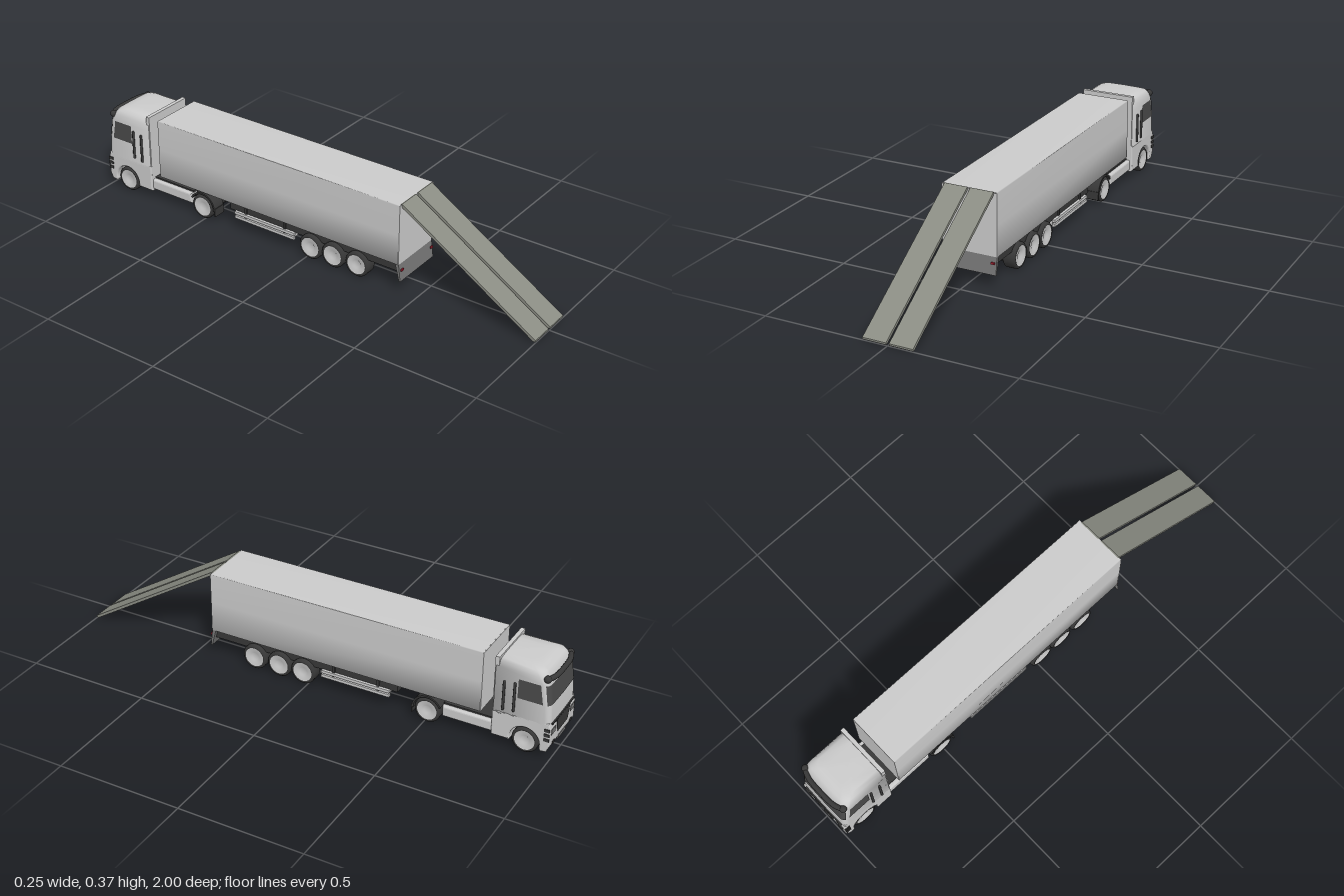
import * as THREE from 'three';

const mat = (color) => new THREE.MeshStandardMaterial({ color, side: THREE.DoubleSide });

export function createModel() {
  const root = new THREE.Group();
  const light = mat(0xcccccc), dark = mat(0x383838), glass = mat(0x4a4a4a);
  const rampMat = mat(0x8b8d84), red = mat(0xa02030), mid = mat(0x777777);

  function add(name, geo, material = light, parent = root) {
    const m = new THREE.Mesh(geo, material);
    m.name = name;
    parent.add(m);
    return m;
  }
  // Box given by its x, y and z ranges
  function box(name, x0, x1, y0, y1, z0, z1, material = light) {
    const g = new THREE.BoxGeometry(x1 - x0, y1 - y0, z1 - z0);
    g.translate((x0 + x1) / 2, (y0 + y1) / 2, (z0 + z1) / 2);
    return add(name, g, material);
  }
  // Side outline in (z, y), extruded along x around centre cx
  function sideExtrude(name, shape, width, cx, material, bevel = 0) {
    const g = new THREE.ExtrudeGeometry(shape, {
      depth: width - 2 * bevel, bevelEnabled: bevel > 0, bevelSize: bevel, bevelThickness: bevel,
      bevelOffset: -bevel, bevelSegments: 3, curveSegments: 20,
    });
    g.translate(0, 0, -width / 2 + bevel).rotateY(-Math.PI / 2).translate(cx, 0, 0);
    return add(name, g, material);
  }
  const poly = (pts) => new THREE.Shape(pts.map(([z, y]) => new THREE.Vector2(z, y)));
  // Skin over equal-length rows of points
  function loft(rows, closed = false) {
    const n = rows[0].length, idx = [];
    for (let j = 0; j < rows.length - 1; j++) {
      for (let i = 0; i < (closed ? n : n - 1); i++) {
        const a = j * n + i, b = j * n + (i + 1) % n;
        idx.push(a, a + n, b, b, a + n, b + n);
      }
    }
    const g = new THREE.BufferGeometry();
    g.setAttribute('position', new THREE.Float32BufferAttribute(rows.flat(2), 3));
    g.setIndex(idx);
    g.computeVertexNormals();
    return g;
  }
  const both = (fn) => [-1, 1].forEach(fn);

  // Trailer body: softly shaded tube with flat ends
  const w = 0.113, lo = 0.12, hi = 0.37, my = 0.245;
  const ring = (z) => [[w, lo], [w, my], [w, hi - 0.003], [w - 0.003, hi], [0, hi],
    [0.003 - w, hi], [-w, hi - 0.003], [-w, my], [-w, lo], [0, lo]].map(([x, y]) => [x, y, z]);
  add('trailerBody', loft([ring(-0.723), ring(0.423)], true));
  box('trailerFrontWall', -w, w, lo, hi - 0.002, -0.725, -0.722);
  box('trailerRearDoor', -w, w, lo, hi - 0.002, 0.422, 0.425);

  // Trailer underframe, side guards and rear bumper
  sideExtrude('trailerFrame', poly([[0.42, 0.121], [0.42, 0.08], [-0.38, 0.08], [-0.38, 0.121]]), 0.19, 0, dark);
  box('underTray', -0.09, 0.09, 0.055, 0.08, -0.34, -0.07);
  both((s) => {
    for (const y of [0.053, 0.071]) {
      const a = s * 0.1;
      box('sideGuardRail', a - 0.006, a + 0.006, y, y + 0.012, -0.35, -0.06);
    }
    for (const z of [-0.3, -0.11]) box('sideGuardPost', s * 0.097 - 0.004, s * 0.097 + 0.004, 0.055, 0.12, z - 0.005, z + 0.005, dark);
    box('tailLight', s * 0.099 - 0.007, s * 0.099 + 0.007, 0.093, 0.101, 0.431, 0.436, red);
  });
  sideExtrude('rearBumper', poly([[0.41, 0.12], [0.425, 0.12], [0.434, 0.05], [0.428, 0.05]]), 0.224, 0, mid);

  // Loading ramps, sloping from the roof edge to the ground
  const rampShape = poly([[0.42, 0.37], [0.425, 0.372], [1, 0.01], [1, 0.003], [0.99, 0.003], [0.42, 0.362]]);
  both((s) => sideExtrude(s > 0 ? 'leftRamp' : 'rightRamp', rampShape, 0.094, s * 0.053, rampMat));

  // Wheels with axles
  const R = 0.052;
  const tyreProfile = [[0.036, -0.025], [0.046, -0.027], [R, -0.02], [R, 0.02], [0.046, 0.027], [0.04, 0.026], [0.038, 0.021]]
    .map(([r, y]) => new THREE.Vector2(r, y));
  const rimProfile = [[0, 0.018], [0.014, 0.018], [0.018, 0.022], [0.036, 0.024], [0.041, 0.026]]
    .map(([r, y]) => new THREE.Vector2(r, y));
  const tyreGeo = new THREE.LatheGeometry(tyreProfile, 28);
  const rimGeo = new THREE.LatheGeometry(rimProfile, 28);
  const axleGeo = new THREE.CylinderGeometry(0.034, 0.034, 0.14, 20).rotateZ(Math.PI / 2);
  for (const z of [0.235, 0.125, 0.02, -0.51, -0.9]) {
    add('axle', axleGeo, dark).position.set(0, R, z);
    both((s) => {
      const wheel = new THREE.Group();
      wheel.name = 'wheel';
      wheel.position.set(s * 0.085, R, z);
      wheel.rotation.z = -s * Math.PI / 2;
      add('tyre', tyreGeo, dark, wheel);
      add('rim', rimGeo, light, wheel);
      root.add(wheel);
    });
  }

  // Tractor frame, coupling plate, tanks and drive wheel mudguards
  box('tractorFrame', -0.055, 0.055, 0.055, 0.09, -0.78, -0.46, dark);
  box('tractorDeck', -0.092, 0.092, 0.086, 0.096, -0.8, -0.57, dark);
  sideExtrude('couplingPlate', poly([[-0.5, 0.09], [-0.54, 0.12], [-0.65, 0.12], [-0.68, 0.09]]), 0.12, 0, dark);
  both((s) => {
    sideExtrude('sideTank', poly([[-0.57, 0.045], [-0.57, 0.09], [-0.775, 0.09], [-0.775, 0.045]]), 0.045, s * 0.086, light, 0.008);
    const guard = new THREE.Shape();
    guard.absarc(-0.51, R, 0.062, -0.05, Math.PI * 0.85, false);
    guard.absarc(-0.51, R, 0.055, Math.PI * 0.85, -0.05, true);
    sideExtrude('mudguard', guard, 0.056, s * 0.084, dark);
    box('mudFlap', s * 0.084 - 0.027, s * 0.084 + 0.027, 0.025, 0.06, -0.45, -0.446, dark);
  });

  // Lower cab with wheel arch
  const lower = new THREE.Shape();
  lower.moveTo(-0.77, 0.155);
  lower.lineTo(-0.77, 0.04);
  lower.lineTo(-0.842, 0.04);
  lower.absarc(-0.9, R, 0.059, -0.2, Math.PI + 0.2, false);
  lower.lineTo(-0.962, 0.03);
  lower.lineTo(-0.985, 0.032);
  lower.lineTo(-0.998, 0.06);
  lower.lineTo(-0.998, 0.13);
  lower.lineTo(-0.992, 0.155);
  sideExtrude('lowerCab', lower, 0.234, 0, light, 0.006);

  // Upper cab, lofted from level outlines with rounded front corners
  const levels = [[0.14, 0.117, -0.995, 0.02], [0.22, 0.117, -0.99, 0.022], [0.31, 0.116, -0.978, 0.025],
    [0.335, 0.112, -0.968, 0.03], [0.352, 0.104, -0.955, 0.03], [0.36, 0.088, -0.935, 0.03]];
  function levelAt(y) {
    const k = Math.max(1, levels.findIndex((l) => l[0] >= y));
    const a = levels[k - 1], b = levels[k], t = (y - a[0]) / (b[0] - a[0]);
    return a.map((v, i) => v + (b[i] - v) * t);
  }
  // Front corner of one side, from the flank round to the front face
  function corner([y, hw, zf, r], s, grow = 0) {
    return Array.from({ length: 7 }, (_, i) => {
      const a = i / 6 * Math.PI / 2;
      return [s * (hw - r + (r + grow) * Math.cos(a)), y, zf + r - (r + grow) * Math.sin(a)];
    });
  }
  const frontRow = (l, grow) => [...corner(l, 1, grow), [0, l[0], l[2] - 0.002 - (grow || 0)], ...corner(l, -1, grow).reverse()];
  const rows = levels.map((l) => [[l[1], l[0], -0.775], ...frontRow(l), [-l[1], l[0], -0.775]]);
  rows.push(rows[5].map(([x, , z]) => [x * 0.6, 0.363, -0.775 + (z + 0.775) * 0.85]));
  rows.push(rows[5].map(() => [0, 0.364, -0.84]));
  add('upperCab', loft(rows, true));
  box('cabRearPanel', -0.112, 0.112, 0.1, 0.37, -0.786, -0.77);

  // Windscreen and side windows, laid just outside the cab skin
  const glassLevels = [0.228, 0.267, 0.306].map(levelAt);
  add('windscreen', loft(glassLevels.map((l) => frontRow(l, 0.002).slice(2, -2))), glass);
  both((s) => add('sideWindow', loft(glassLevels.map((l) =>
    [[s * (l[1] + 0.0015), l[0], -0.865], [s * (l[1] + 0.0015), l[0], l[2] + l[3] + 0.004]])), glass));

  // Sun visor with end lamps
  const visor = new THREE.CatmullRomCurve3([[-0.108, -0.968], [-0.07, -0.983], [0, -0.987], [0.07, -0.983], [0.108, -0.968]]
    .map(([x, z]) => new THREE.Vector3(x, 0.33, z)));
  add('sunVisor', new THREE.TubeGeometry(visor, 24, 0.01, 10), dark);
  both((s) => add('visorEnd', new THREE.SphereGeometry(0.014, 14, 10), dark).position.set(s * 0.104, 0.33, -0.968));

  // Front grille, bumper slot and lamps
  const grille = new THREE.Shape([[-0.062, 0.145], [-0.045, 0.088], [0.045, 0.088], [0.062, 0.145]]
    .map(([x, y]) => new THREE.Vector2(x, y)));
  add('grille', new THREE.ExtrudeGeometry(grille, { depth: 0.008, bevelEnabled: false }), dark).position.z = -1;
  box('grilleBar', -0.1, 0.1, 0.146, 0.152, -1, -0.99, dark);
  box('numberPanel', -0.035, 0.035, 0.05, 0.064, -1, -0.99, mid);
  both((s) => {
    box('headlight', s * 0.088 - 0.018, s * 0.088 + 0.018, 0.105, 0.128, -1, -0.99, mid);
    box('fogLight', s * 0.08 - 0.009, s * 0.08 + 0.009, 0.058, 0.07, -1, -0.99, dark);
    for (const y of [0.08, 0.1, 0.12]) box('cornerLamp', s * 0.115 - 0.005, s * 0.115 + 0.005, y, y + 0.012, -0.996, -0.975, dark);
    // Upright rails on the cab sides
    for (const [z, y0, y1] of [[-0.812, 0.16, 0.285], [-0.853, 0.165, 0.29]]) {
      add('sideRail', new THREE.CapsuleGeometry(0.005, y1 - y0 - 0.01, 4, 10), dark).position.set(s * 0.12, (y0 + y1) / 2, z);
    }
  });
  return root;
}
